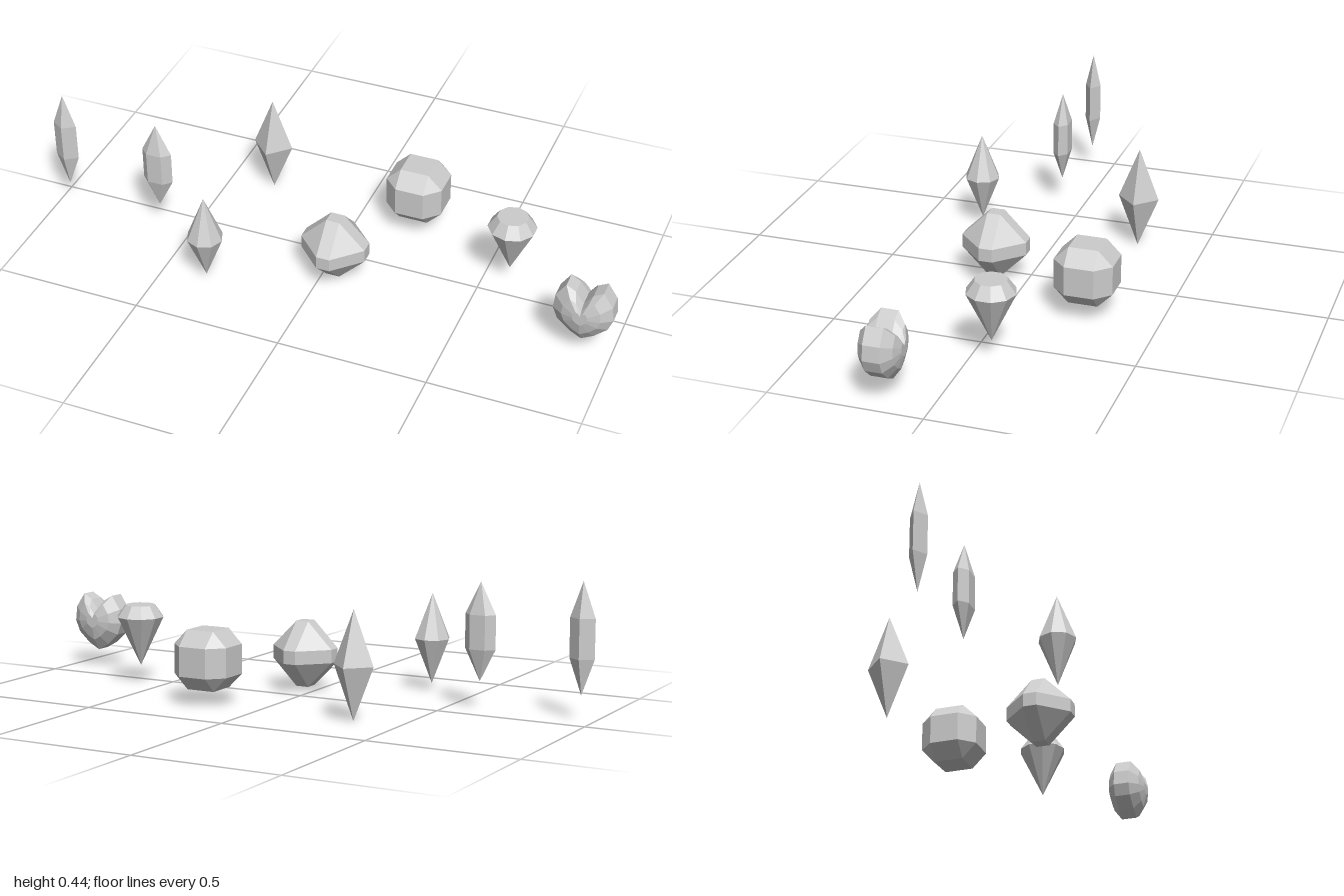
import * as THREE from 'three';
import { ConvexGeometry } from 'three/addons/geometries/ConvexGeometry.js';

const material = new THREE.MeshStandardMaterial({ color: 0xcccccc, flatShading: true });

// Faceted solid of revolution; profile is [radius, y] from bottom to top.
function turnedGem(profile, sides, depth = 1, start = 0) {
  const points = profile.map(([r, y]) => new THREE.Vector2(r, y));
  return new THREE.LatheGeometry(points, sides, start).scale(1, 1, depth);
}

// Pointed crystal centred on its middle, with an optional straight shaft.
function crystal(r, half, shaft, sides, depth = 1, start = 0) {
  const middle = shaft ? [[r, -shaft], [r, shaft]] : [[r, 0]];
  return turnedGem([[0, -half], ...middle, [0, half]], sides, depth, start);
}

// Cube-symmetric gem: a square of half-width a on each of the six sides.
function squareFacetGem(half, a) {
  const points = [];
  for (let axis = 0; axis < 3; axis++) {
    for (const s of [-1, 1]) for (const u of [-1, 1]) for (const v of [-1, 1]) {
      const p = [0, 0, 0];
      p[axis] = s * half;
      p[(axis + 1) % 3] = u * a;
      p[(axis + 2) % 3] = v * a;
      points.push(new THREE.Vector3(...p));
    }
  }
  return new ConvexGeometry(points);
}

// Heart outline lofted through shrinking rings towards front and back.
function heartGem() {
  const right = [[0.04, -0.088], [0.082, -0.05], [0.098, -0.01], [0.092, 0.04], [0.06, 0.088], [0.028, 0.07]];
  const left = right.map(([x, y]) => [-x, y]).reverse();
  const outline = [[0, -0.11], ...right, [0, 0.032], ...left];
  const rings = [[0, -0.067], [0.25, -0.067], [0.65, -0.055], [1, -0.0275],
    [1, 0.0275], [0.65, 0.055], [0.25, 0.067], [0, 0.067]];
  const n = outline.length;
  const positions = [];
  const index = [];
  rings.forEach(([s, z], k) => {
    outline.forEach(([x, y], i) => {
      positions.push(x * s, y * s, z);
      if (k === rings.length - 1) return;
      const a = k * n + i;
      const b = k * n + (i + 1) % n;
      if (rings[k][0] > 0) index.push(a, b, b + n);
      if (rings[k + 1][0] > 0) index.push(a, b + n, a + n);
      else index.push(a, b, a + n);
    });
  });
  // Back cap triangles are covered by the second half of each first-ring quad.
  const geometry = new THREE.BufferGeometry();
  geometry.setAttribute('position', new THREE.Float32BufferAttribute(positions, 3));
  geometry.setIndex(index);
  geometry.computeVertexNormals();
  return geometry;
}

export function createModel() {
  const group = new THREE.Group();
  const add = (name, geometry, x, y, z) => {
    const mesh = new THREE.Mesh(geometry, material);
    mesh.name = name;
    mesh.position.set(x, y, z);
    group.add(mesh);
  };

  // Slender crystals with straight shafts
  add('fourSidedShard', crystal(0.042, 0.18, 0.064, 4, 0.67), -0.958, 0.262, 0.075);
  add('sixSidedShard', crystal(0.053, 0.161, 0.056, 6, 0.566, Math.PI / 2), -0.61, 0.254, 0.084);

  // Double pyramids
  add('eightSidedSpindle', crystal(0.061, 0.153, 0, 8), -0.342, 0.18, 0.293);
  add('fourSidedSpindle', crystal(0.07, 0.177, 0, 4), -0.342, 0.178, -0.273);

  // Chunky gems
  add('octahedralGem', squareFacetGem(0.111, 0.0225), 0.041, 0.125, 0.109);
  add('cubicGem', squareFacetGem(0.098, 0.049), 0.2, 0.149, -0.254);

  // Brilliant cut with a flat table
  add('brilliantGem', turnedGem([[0, -0.168], [0.081, 0], [0.052, 0.041], [0, 0.041]], 10), 0.588, 0.231, -0.066);

  add('heartGem', heartGem(), 0.902, 0.17, 0.16);
  return group;
}
